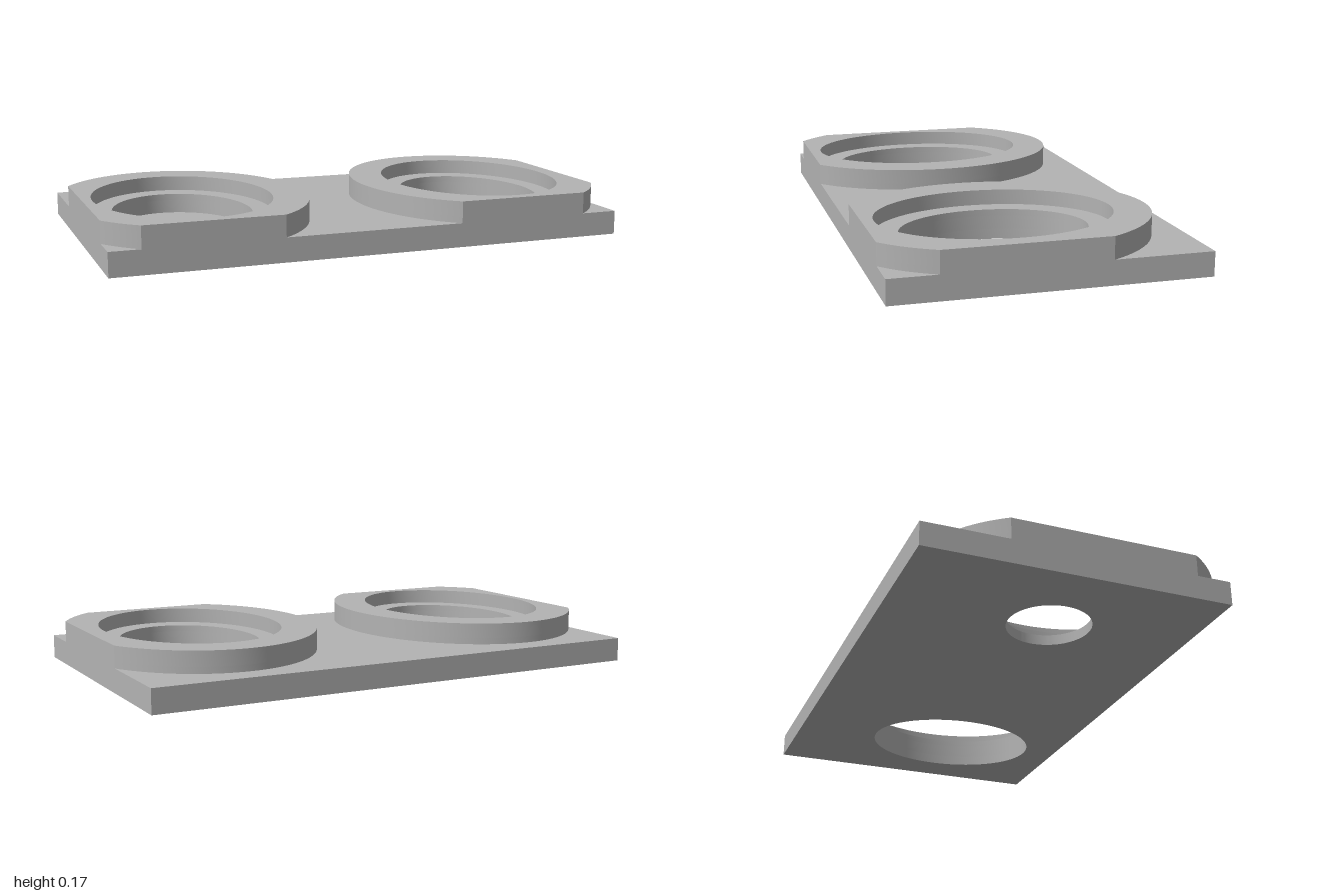
import * as THREE from 'three';
import { toCreasedNormals } from 'three/addons/utils/BufferGeometryUtils.js';

const HX = 1, HZ = 0.58;              // plate half sizes
const CZ = 0.096;                     // centre line of the oval seats
const Y = [0, 0.04, 0.092, 0.117, 0.175]; // ledge heights
const SEATS = [
  { name: 'left', x: 0.594, side: 1 },
  { name: 'right', x: -0.623, side: -1 },
];

// Points along an ellipse arc, in plan (x, -z)
function arc(cx, cz, rx, rz, from = 0, to = Math.PI * 2, n = 96) {
  const pts = [];
  for (let i = 0; i <= n; i++) {
    const a = from + (to - from) * i / n;
    pts.push(new THREE.Vector2(cx + rx * Math.cos(a), -cz + rz * Math.sin(a)));
  }
  return pts;
}

const oval = (x, rx, rz, z = CZ) => arc(x, z, rx, rz).slice(0, -1);

// Outer boss outline, cut flat at the plate's end and front edges
function bossOutline({ x, side }) {
  const rx = 0.477, rz = 0.578;
  const a = Math.acos((HX - Math.abs(x)) / rx);
  const b = Math.asin((HZ - CZ) / rz);
  const pts = [
    ...arc(0, CZ, rx, rz, a, Math.PI + b, 80),
    ...arc(0, CZ, rx, rz, 2 * Math.PI - b, 2 * Math.PI - a, 12),
  ];
  return pts.map(p => new THREE.Vector2(x + side * p.x, p.y));
}

export function createModel() {
  const model = new THREE.Group();
  model.name = 'mountingPlate';
  const grey = new THREE.MeshStandardMaterial({ color: 0xb3b3b3 });
  grey.name = 'grey';

  // Horizontal layer with holes between two heights
  function layer(name, outline, holes, y0, y1) {
    const shape = new THREE.Shape(outline);
    shape.holes = holes.map(h => new THREE.Path(h));
    const geo = new THREE.ExtrudeGeometry(shape, { depth: y1 - y0, bevelEnabled: false });
    geo.rotateX(-Math.PI / 2);
    geo.translate(0, y0, 0);
    const mesh = new THREE.Mesh(toCreasedNormals(geo, 0.4), grey);
    mesh.name = name;
    model.add(mesh);
  }

  const rect = [[-HX, -HZ], [HX, -HZ], [HX, HZ], [-HX, HZ]].map(p => new THREE.Vector2(...p));
  const bore = s => oval(s.x, 0.263, 0.35);
  const recess = s => oval(s.x, 0.34, 0.44);

  // Base plate: one through bore, one stepped bore with a small round hole
  layer('plateFloor', rect, [bore(SEATS[0]), oval(-0.626, 0.158, 0.158, 0.04)], Y[0], Y[1]);
  layer('plateTop', rect, SEATS.map(bore), Y[1], Y[2]);

  // Raised oval seats with a stepped recess
  for (const s of SEATS) {
    layer(s.name + 'SeatLedge', bossOutline(s), [bore(s)], Y[2], Y[3]);
    layer(s.name + 'SeatRim', bossOutline(s), [recess(s)], Y[3], Y[4]);
  }
  return model;
}
